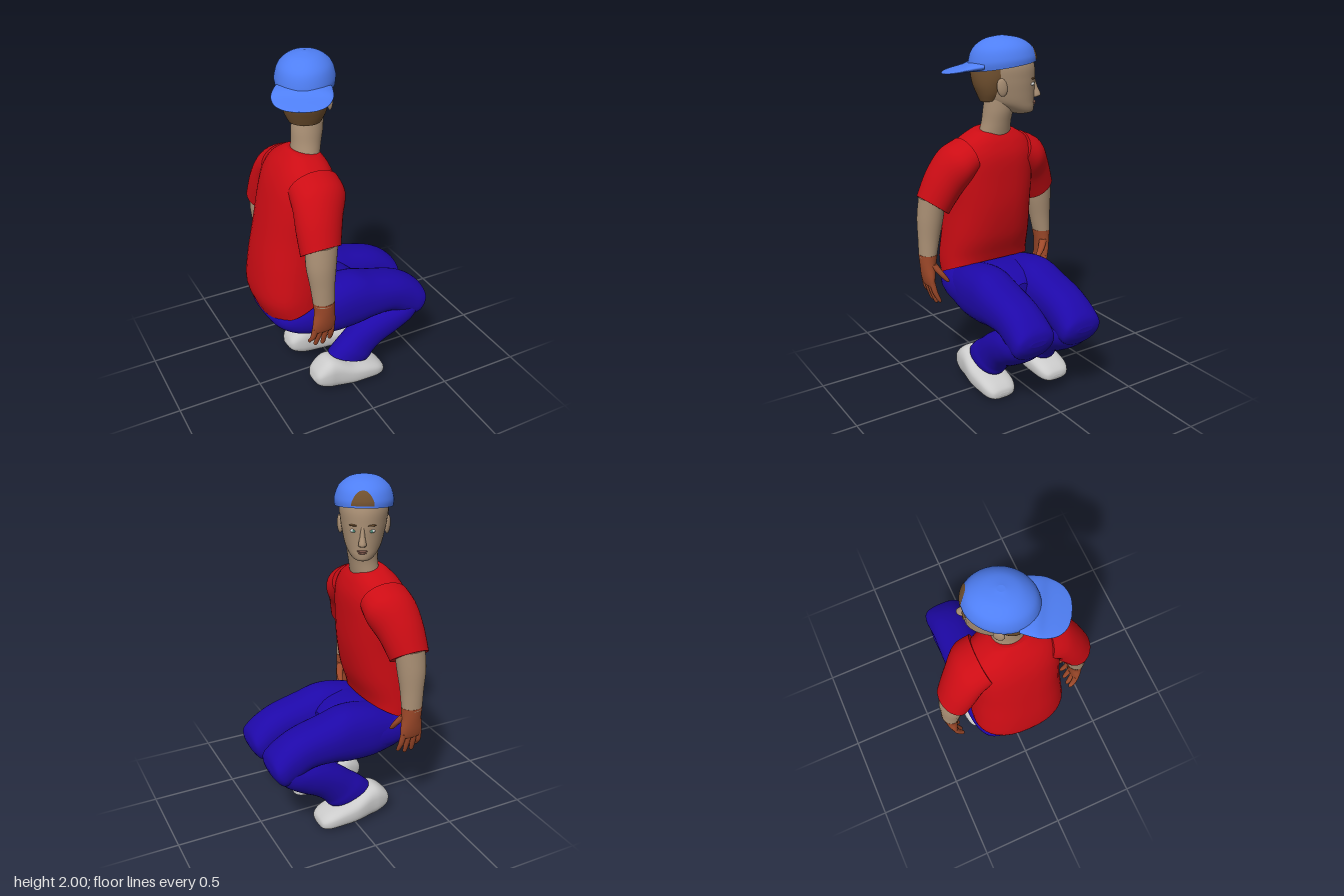
import * as THREE from 'three';

const mat = (color) => new THREE.MeshStandardMaterial({ color, side: THREE.DoubleSide });
const M = {
  shirt: mat(0xcc0c14), trousers: mat(0x1e08a8), skin: mat(0xa98f74), hand: mat(0xa04a2a), shoe: mat(0xcccccc),
  hair: mat(0x70502f), cap: mat(0x4f7ff5), lips: mat(0x94685a), eye: mat(0xdddddd), iris: mat(0x4f8a78),
};

// Smooth blend through the rows, v from 0 to 1
function sample(rows, v) {
  const n = rows.length - 1, f = v * n, i = Math.min(Math.floor(f), n - 1), t = f - i;
  const at = (k) => rows[Math.max(0, Math.min(n, k))];
  return Array.from({ length: 7 }, (_, c) => {
    const [a, b, d, e] = [i - 1, i, i + 1, i + 2].map((k) => at(k)[c] ?? 0);
    return b + 0.5 * t * (d - a + t * (2 * a - 5 * b + 4 * d - e + t * (3 * (b - d) + e - a)));
  });
}

// Skin over oval sections. Row: [x0, y0, x1, y1, z, halfWidth, tilt]: two opposite
// points in the side plane, the middle z, half the width, and the rise across the width.
// side mirrors in z; arc gives the half angle of an open patch; grow offsets it outwards.
function loft(rows, { side = 1, power = 2, v0 = 0, v1 = 1, arc = null, grow = 0, seg = 36 } = {}) {
  const steps = (rows.length - 1) * 6, pos = [], idx = [], centres = [];
  const bend = (c) => Math.sign(c) * Math.abs(c) ** (2 / power);
  let A, B;
  for (let i = 0; i <= steps; i++) {
    const v = i / steps;
    const [x0, y0, x1, y1, z, w, tilt] = sample(rows, v0 + (v1 - v0) * v);
    const c = new THREE.Vector3((x0 + x1) / 2, (y0 + y1) / 2, z * side);
    const a = new THREE.Vector3((x1 - x0) / 2, (y1 - y0) / 2, 0);
    const b = new THREE.Vector3(0, tilt * side, w);
    a.setLength(a.length() + grow);
    b.setLength(b.length() + grow);
    centres.push(c);
    if (i === steps >> 1) { A = a; B = b; }
    for (let j = 0; j <= seg; j++) {
      const t = arc ? (j / seg * 2 - 1) * arc(v) : (j % seg) / seg * Math.PI * 2;
      const p = c.clone().addScaledVector(a, bend(Math.cos(t))).addScaledVector(b, bend(Math.sin(t)));
      pos.push(p.x, p.y, p.z);
    }
  }
  const flip = centres[steps].clone().sub(centres[0]).cross(B).dot(A) < 0;
  const tri = (a, b, c) => (flip ? idx.push(a, c, b) : idx.push(a, b, c));
  const ring = seg + 1;
  for (let i = 0; i < steps; i++) for (let j = 0; j < seg; j++) {
    const k = arc ? j + 1 : (j + 1) % seg;
    const p = i * ring + j, q = i * ring + k;
    tri(p, p + ring, q);
    tri(q, p + ring, q + ring);
  }
  // Flat end caps with their own corners
  if (!arc) for (const e of [0, steps]) {
    const start = pos.length / 3;
    pos.push(...pos.slice(e * ring * 3, (e + 1) * ring * 3), ...centres[e].toArray());
    for (let j = 0; j < seg; j++) {
      if (e) tri(start + j, start + ring, start + j + 1);
      else tri(start + j, start + j + 1, start + ring);
    }
  }
  const g = new THREE.BufferGeometry();
  g.setAttribute('position', new THREE.Float32BufferAttribute(pos, 3));
  g.setIndex(idx);
  g.computeVertexNormals();
  return g;
}

function add(parent, name, geometry, material) {
  const m = new THREE.Mesh(geometry, material);
  m.name = name;
  parent.add(m);
  return m;
}

function ball(parent, name, material, p, s) {
  const m = add(parent, name, new THREE.SphereGeometry(1, 20, 14), material);
  m.position.set(...p);
  m.scale.set(...s);
  return m;
}

function addLeg(parent, side, label) {
  const leg = new THREE.Group();
  leg.name = label + 'Leg';
  parent.add(leg);
  add(leg, 'thigh', loft([
    [-0.3, 0.66, -0.25, 0.42, 0.14, 0.13], [-0.12, 0.715, -0.12, 0.395, 0.15, 0.14],
    [0.03, 0.73, 0.03, 0.4, 0.155, 0.138], [0.16, 0.695, 0.13, 0.42, 0.157, 0.134],
    [0.31, 0.655, 0.26, 0.42, 0.157, 0.128], [0.4, 0.615, 0.36, 0.37, 0.157, 0.127],
    [0.465, 0.565, 0.43, 0.35, 0.157, 0.127], [0.495, 0.525, 0.478, 0.4, 0.157, 0.108],
    [0.503, 0.48, 0.5, 0.45, 0.157, 0.05]], { side, power: 2.3 }), M.trousers);
  add(leg, 'shin', loft([
    [0.4, 0.52, 0.48, 0.42, 0.157, 0.11], [0.3, 0.47, 0.42, 0.335, 0.157, 0.125],
    [0.2, 0.44, 0.33, 0.27, 0.16, 0.117], [0.08, 0.375, 0.23, 0.215, 0.165, 0.1],
    [-0.01, 0.305, 0.17, 0.165, 0.17, 0.09], [-0.07, 0.26, 0.15, 0.137, 0.175, 0.088],
    [-0.118, 0.213, 0.135, 0.122, 0.175, 0.086]], { side, power: 2.2 }), M.trousers);
  add(leg, 'shoe', loft([
    [-0.24, 0.1, -0.24, 0.08, 0.185, 0.03], [-0.22, 0.145, -0.215, 0.045, 0.185, 0.07],
    [-0.16, 0.197, -0.16, 0.015, 0.185, 0.09], [-0.1, 0.2, -0.1, 0.004, 0.185, 0.096],
    [0, 0.15, 0, 0, 0.19, 0.104], [0.1, 0.125, 0.1, 0, 0.19, 0.104], [0.17, 0.1, 0.17, 0, 0.19, 0.095],
    [0.21, 0.07, 0.21, 0.01, 0.19, 0.07], [0.22, 0.045, 0.22, 0.03, 0.19, 0.03]], { side, power: 2.7 }), M.shoe);
}

function addArm(parent, side, label) {
  const arm = new THREE.Group();
  arm.name = label + 'Arm';
  parent.add(arm);
  add(arm, 'sleeve', loft([
    [-0.35, 1.345, -0.06, 1.345, 0.17, 0.03, 0.1], [-0.36, 1.29, -0.06, 1.29, 0.245, 0.06, 0.1],
    [-0.37, 1.19, -0.11, 1.19, 0.305, 0.08, 0.08], [-0.372, 1.07, -0.15, 1.07, 0.36, 0.082, 0.06]],
  { side }), M.shirt);
  add(arm, 'forearm', loft([
    [-0.345, 1.12, -0.17, 1.12, 0.365, 0.072], [-0.35, 1, -0.185, 1, 0.375, 0.074],
    [-0.335, 0.88, -0.2, 0.88, 0.388, 0.062], [-0.325, 0.77, -0.205, 0.77, 0.4, 0.05]], { side }), M.skin);
  add(arm, 'hand', loft([
    [-0.327, 0.785, -0.203, 0.785, 0.398, 0.053], [-0.322, 0.72, -0.205, 0.72, 0.402, 0.043],
    [-0.332, 0.65, -0.2, 0.65, 0.402, 0.032], [-0.332, 0.6, -0.205, 0.6, 0.398, 0.022],
    [-0.31, 0.585, -0.225, 0.585, 0.395, 0.012]], { side }), M.hand);
  // Fingers and thumb: root, bend and tip, each with a radius
  const fingers = [[-0.316, -0.332, 0.505], [-0.285, -0.298, 0.475], [-0.252, -0.255, 0.47], [-0.22, -0.212, 0.488]]
    .map(([x, tx, ty]) => [[x, 0.62, 0.4, 0.018], [(x + tx) / 2, 0.555, 0.385, 0.016],
      [tx, ty + 0.015, 0.362, 0.012], [tx, ty, 0.356, 0.005]]);
  fingers.push([[-0.225, 0.73, 0.39, 0.024], [-0.2, 0.675, 0.355, 0.02], [-0.192, 0.63, 0.322, 0.015], [-0.19, 0.615, 0.312, 0.006]]);
  fingers.forEach((f, i) => add(arm, i < 4 ? 'finger' : 'thumb',
    loft(f.map(([x, y, z, r]) => [x - r, y, x + r, y, z, r]), { side, seg: 14 }), M.hand));
}

// Head faces +x in its own frame
function addHead(parent) {
  const head = new THREE.Group();
  head.name = 'head';
  head.position.set(-0.145, 0, -0.035);
  head.rotation.y = Math.PI / 3;
  parent.add(head);
  add(head, 'face', loft([
    [0.06, 1.575, 0.15, 1.575, 0, 0.03], [0.02, 1.59, 0.172, 1.585, 0, 0.055], [-0.04, 1.615, 0.178, 1.61, 0, 0.078],
    [-0.11, 1.65, 0.178, 1.645, 0, 0.098], [-0.14, 1.7, 0.18, 1.7, 0, 0.112], [-0.165, 1.77, 0.183, 1.77, 0, 0.125],
    [-0.17, 1.85, 0.178, 1.85, 0, 0.13], [-0.14, 1.93, 0.14, 1.93, 0, 0.1], [-0.05, 1.97, 0.05, 1.97, 0, 0.03]]), M.skin);
  add(head, 'hair', loft([
    [-0.125, 1.645, 0.0, 1.66, 0, 0.085], [-0.145, 1.69, 0.03, 1.7, 0, 0.108], [-0.165, 1.74, 0.06, 1.75, 0, 0.124],
    [-0.176, 1.8, 0.09, 1.8, 0, 0.132], [-0.175, 1.87, 0.1, 1.87, 0, 0.132]]), M.hair);
  add(head, 'nose', loft([
    [0.16, 1.662, 0.2, 1.665, 0, 0.018], [0.16, 1.68, 0.216, 1.677, 0, 0.021],
    [0.16, 1.72, 0.198, 1.72, 0, 0.013], [0.15, 1.765, 0.184, 1.765, 0, 0.011]], { seg: 18 }), M.skin);
  ball(head, 'upperLip', M.lips, [0.174, 1.637, 0], [0.014, 0.006, 0.028]);
  ball(head, 'lowerLip', M.lips, [0.173, 1.627, 0], [0.014, 0.007, 0.023]);
  for (const s of [1, -1]) {
    ball(head, 'eye', M.eye, [0.161, 1.742, s * 0.046], [0.015, 0.01, 0.019]);
    ball(head, 'iris', M.iris, [0.172, 1.742, s * 0.046], [0.005, 0.008, 0.008]);
    ball(head, 'eyebrow', M.hair, [0.168, 1.772, s * 0.046], [0.01, 0.005, 0.026]).rotation.y = s * -0.2;
    const ear = ball(head, 'ear', M.skin, [-0.005, 1.735, s * 0.127], [0.03, 0.05, 0.014]);
    ear.rotation.set(0, s * 0.3, 0.15);
  }
  // Cap worn backwards, with the strap opening over the forehead
  const crown = [
    [-0.185, 1.81, 0.19, 1.865, 0, 0.155], [-0.187, 1.86, 0.186, 1.9, 0, 0.158], [-0.162, 1.93, 0.158, 1.95, 0, 0.136],
    [-0.1, 1.98, 0.1, 1.985, 0, 0.085], [-0.02, 2, 0.02, 2, 0, 0.017]];
  add(head, 'capCrown', loft(crown), M.cap);
  add(head, 'capOpening', loft(crown, { v0: 0.1, v1: 0.5, grow: 0.003, seg: 16,
    arc: (v) => 0.38 * Math.sqrt(Math.max(0, 1 - v * v)) }), M.hair);
  add(head, 'capBill', loft([
    [-0.1, 1.875, -0.1, 1.815, 0, 0.145], [-0.17, 1.862, -0.17, 1.81, 0, 0.155], [-0.22, 1.838, -0.22, 1.807, 0, 0.152],
    [-0.28, 1.82, -0.28, 1.802, 0, 0.128], [-0.32, 1.808, -0.32, 1.8, 0, 0.08], [-0.333, 1.803, -0.333, 1.799, 0, 0.025]]), M.cap);
}

export function createModel() {
  const figure = new THREE.Group();
  figure.name = 'crouchingFigure';
  add(figure, 'shirt', loft([
    [-0.47, 0.56, -0.13, 0.715, 0, 0.272], [-0.508, 0.68, -0.115, 0.76, 0, 0.272], [-0.495, 0.85, -0.073, 0.88, 0, 0.262],
    [-0.457, 1.05, -0.045, 1.05, 0, 0.25], [-0.42, 1.22, -0.04, 1.22, 0, 0.255], [-0.385, 1.34, -0.045, 1.34, 0, 0.25],
    [-0.34, 1.425, -0.07, 1.42, 0, 0.21], [-0.285, 1.485, -0.1, 1.47, 0, 0.13], [-0.26, 1.5, -0.105, 1.475, 0, 0.09]],
  { power: 2.4 }), M.shirt);
  add(figure, 'neck', loft([
    [-0.25, 1.46, -0.095, 1.46, 0, 0.095], [-0.24, 1.53, -0.08, 1.53, -0.005, 0.085],
    [-0.235, 1.6, -0.065, 1.6, -0.012, 0.086], [-0.22, 1.68, -0.06, 1.68, -0.02, 0.088]]), M.skin);
  add(figure, 'trouserSeat', loft([
    [-0.47, 0.58, -0.465, 0.54, 0, 0.1], [-0.43, 0.63, -0.43, 0.495, 0, 0.22], [-0.35, 0.68, -0.33, 0.43, 0, 0.272],
    [-0.2, 0.7, -0.2, 0.395, 0, 0.286], [-0.08, 0.71, -0.08, 0.4, 0, 0.28], [0.04, 0.69, 0.04, 0.43, 0, 0.2],
    [0.12, 0.64, 0.12, 0.46, 0, 0.05]], { power: 2.4 }), M.trousers);
  for (const [side, label] of [[1, 'right'], [-1, 'left']]) {
    addLeg(figure, side, label);
    addArm(figure, side, label);
  }
  addHead(figure);
  return figure;
}
